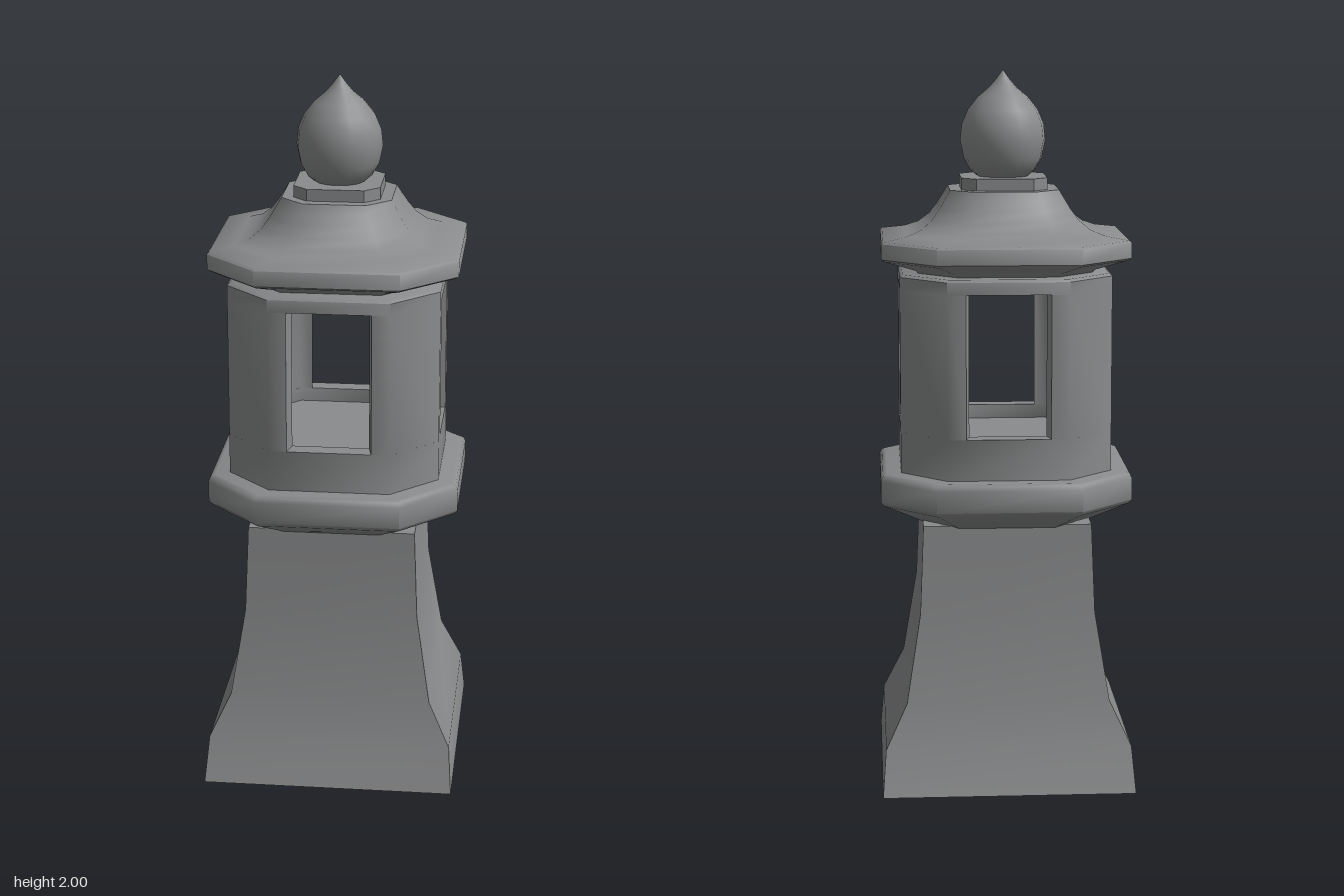
import * as THREE from 'three';
import { toCreasedNormals } from 'three/addons/utils/BufferGeometryUtils.js';

const stone = new THREE.MeshStandardMaterial({ color: 0x8a8b8c });
stone.name = 'grey stone';

// Chamfered square outline: half width wx / wz, cut is the flat fraction of each side
function ring([y, wx, cut = 1, wz = wx]) {
  const p = [[1, -cut], [1, cut], [cut, 1], [-cut, 1], [-1, cut], [-1, -cut], [-cut, -1], [cut, -1]];
  return p.map(([x, z]) => new THREE.Vector3(x * wx, y, z * wz));
}

// Skin a stack of rings from the bottom up, dropping collapsed triangles
function loft(rows, crease = 0.9) {
  const rings = rows.map(ring);
  const pos = [];
  const add = (a, b, c) => {
    if (new THREE.Triangle(a, b, c).getArea() > 1e-7) for (const v of [a, b, c]) pos.push(v.x, v.y, v.z);
  };
  for (let i = 0; i + 1 < rings.length; i++) {
    for (let j = 0; j < 8; j++) {
      const k = (j + 1) % 8, lo = rings[i], hi = rings[i + 1];
      add(lo[j], hi[j], lo[k]);
      add(lo[k], hi[j], hi[k]);
    }
  }
  const g = new THREE.BufferGeometry();
  g.setAttribute('position', new THREE.Float32BufferAttribute(pos, 3));
  return toCreasedNormals(g, crease);
}

export function createModel() {
  const group = new THREE.Group();
  group.name = 'stoneLantern';
  const part = (name, geometry) => {
    const mesh = new THREE.Mesh(geometry, stone);
    mesh.name = name;
    group.add(mesh);
    return mesh;
  };

  // Flared square pedestal, with a steeper foot on the two sides
  part('pedestal', loft([
    [0, 0], [0, 0.355], [0.125, 0.345, 1, 0.31], [0.25, 0.285, 1, 0.28],
    [0.5, 0.245], [0.75, 0.235], [0.75, 0],
  ]));

  // Platform with a sloping underside and softened rim
  const c = 0.57;
  part('platform', loft([
    [0.742, 0], [0.742, 0.235, c], [0.8, 0.342, c], [0.812, 0.352, c],
    [0.872, 0.352, c], [0.885, 0.346, c], [0.89, 0.335, c], [0.89, 0],
  ]));

  // Light chamber: low wall with floor, corner posts and a lintel with ceiling
  part('chamberBase', loft([
    [0.885, 0], [0.885, 0.295, c], [1.005, 0.295, c], [1.005, 0.245, c], [0.965, 0.245, c], [0.965, 0],
  ]));
  part('chamberLintel', loft([
    [1.425, 0], [1.425, 0.245, c], [1.405, 0.245, c], [1.405, 0.295, c],
    [1.44, 0.295, c], [1.447, 0.287, c], [1.447, 0],
  ]));
  const plan = new THREE.Shape([
    [0.117, 0.295], [0.107, 0.245], [0.14, 0.245], [0.245, 0.14],
    [0.245, 0.107], [0.295, 0.117], [0.295, 0.168], [0.168, 0.295],
  ].map(([x, y]) => new THREE.Vector2(x, y)));
  const post = new THREE.ExtrudeGeometry(plan, { depth: 0.4, bevelEnabled: false });
  post.rotateX(-Math.PI / 2).translate(0, 1.005, 0);
  const postGeometry = toCreasedNormals(post, 0.9);
  for (let i = 0; i < 4; i++) part('cornerPost' + (i + 1), postGeometry).rotation.y = i * Math.PI / 2;

  // Roof with an eave band and a concave slope
  part('roof', loft([
    [1.445, 0], [1.445, 0.24, c], [1.455, 0.25, c], [1.485, 0.335, c], [1.492, 0.345, c],
    [1.535, 0.345, c], [1.54, 0.34, c], [1.55, 0.275, c], [1.565, 0.235, c], [1.59, 0.205, c],
    [1.62, 0.183, c], [1.65, 0.165, c], [1.672, 0.152, c], [1.672, 0],
  ]));
  part('finialBase', loft([
    [1.665, 0], [1.665, 0.12, 0.66], [1.705, 0.12, 0.66], [1.705, 0],
  ], 0.6));

  // Bud-shaped finial
  const bud = [
    [0, 1.69], [0.06, 1.695], [0.09, 1.72], [0.11, 1.755], [0.12, 1.805], [0.115, 1.85],
    [0.098, 1.89], [0.07, 1.925], [0.04, 1.95], [0.02, 1.973], [0, 2],
  ].map(([x, y]) => new THREE.Vector2(x, y));
  part('finial', new THREE.LatheGeometry(bud, 16));

  return group;
}
